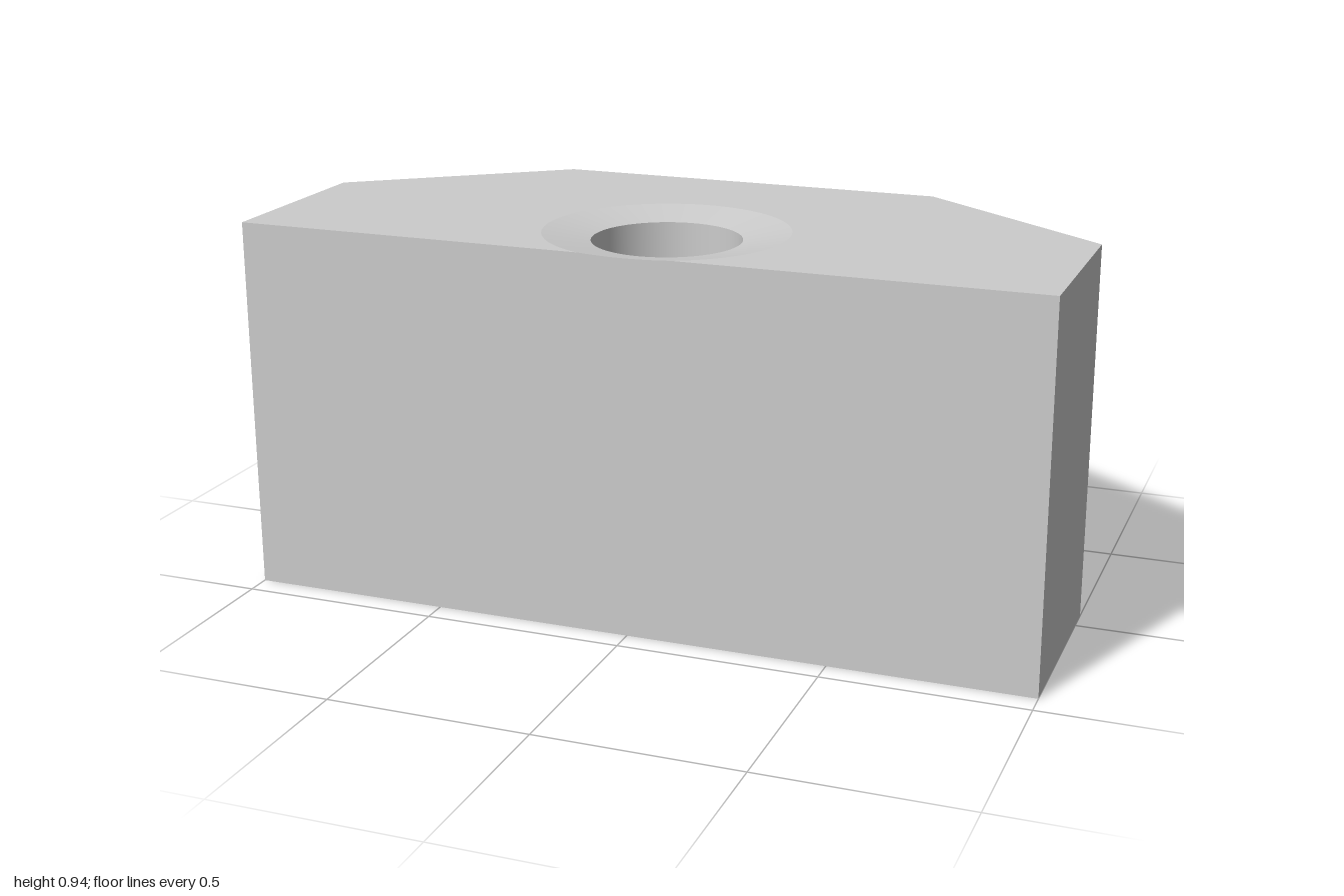
import * as THREE from 'three';

const H = 0.9375, FRONT = 0.4375, HOLE_Z = 0.16;
const BORE_R = 0.1825, SINK_R = 0.3, SINK_DEPTH = 0.021;
const NOTCH_SEGS = 12, SEGS = 96;

// Band of quads between two point lists [x, y, z]
function strip(a, b, closed) {
  const n = a.length, index = [];
  for (let i = 0; i < (closed ? n : n - 1); i++) {
    const j = (i + 1) % n;
    index.push(i, n + i, n + j, i, n + j, j);
  }
  const g = new THREE.BufferGeometry();
  g.setAttribute('position', new THREE.Float32BufferAttribute([...a, ...b].flat(), 3));
  g.setIndex(index);
  g.computeVertexNormals();
  return g;
}

const shapeOf = (pts) => new THREE.Shape(pts.map(([x, y]) => new THREE.Vector2(x, y)));

export function createModel() {
  const group = new THREE.Group();
  const material = new THREE.MeshStandardMaterial({ color: 0xcccccc });
  const add = (name, geometry) => {
    const mesh = new THREE.Mesh(geometry, material);
    mesh.name = name;
    group.add(mesh);
  };

  // Angles around the hole: first the part cut off by the front face, then the rest
  const phi = Math.acos((FRONT - HOLE_Z) / SINK_R);
  const angles = [];
  for (let i = 0; i < SEGS; i++) {
    angles.push(i < NOTCH_SEGS
      ? Math.PI / 2 - phi + (2 * phi * i) / NOTCH_SEGS
      : Math.PI / 2 + phi + ((2 * Math.PI - 2 * phi) * (i - NOTCH_SEGS)) / (SEGS - NOTCH_SEGS));
  }
  const at = (t, r, y) => [r * Math.cos(t), y, HOLE_Z + r * Math.sin(t)];
  const sinkRim = angles.map((t, i) => {
    const r = i <= NOTCH_SEGS ? Math.min(SINK_R, (FRONT - HOLE_Z) / Math.sin(t)) : SINK_R;
    return at(t, r, H - (SINK_DEPTH * (SINK_R - r)) / (SINK_R - BORE_R));
  });
  const boreTop = angles.map((t) => at(t, BORE_R, H - SINK_DEPTH));
  const boreBottom = angles.map((t) => at(t, BORE_R, 0));

  add('countersink', strip(sinkRim, boreTop, true));
  add('bore', strip(boreTop, boreBottom, true));

  // Plan outline [x, z] from the front left corner round the back
  const outline = [[1, FRONT], [1, -0.0625], [0.5, -0.4375], [-0.5, -0.4375], [-1, -0.0625], [-1, FRONT]];

  // Flat side and back walls
  for (let i = 0; i < outline.length - 1; i++) {
    const edge = [outline[i], outline[i + 1]];
    add('wall' + (i + 1), strip(edge.map(([x, z]) => [x, H, z]), edge.map(([x, z]) => [x, 0, z]), false));
  }

  // Front wall with the shallow notch of the countersink
  const notch = sinkRim.slice(0, NOTCH_SEGS + 1);
  const front = new THREE.ShapeGeometry(shapeOf([[-1, 0], [1, 0], [1, H], ...notch, [-1, H]]));
  add('frontWall', front.translate(0, 0, FRONT));

  // Top face, bitten open where the countersink meets the front edge
  const bite = [...sinkRim.slice(NOTCH_SEGS), sinkRim[0]].map(([x, , z]) => [x, z]);
  const top = new THREE.ShapeGeometry(shapeOf([...outline, ...bite].map(([x, z]) => [x, -z])));
  add('topFace', top.rotateX(-Math.PI / 2).translate(0, H, 0));

  // Bottom face with the bore opening
  const base = shapeOf(outline);
  base.holes.push(new THREE.Path(boreBottom.map(([x, , z]) => new THREE.Vector2(x, z))));
  add('bottomFace', new THREE.ShapeGeometry(base).rotateX(Math.PI / 2));

  return group;
}
